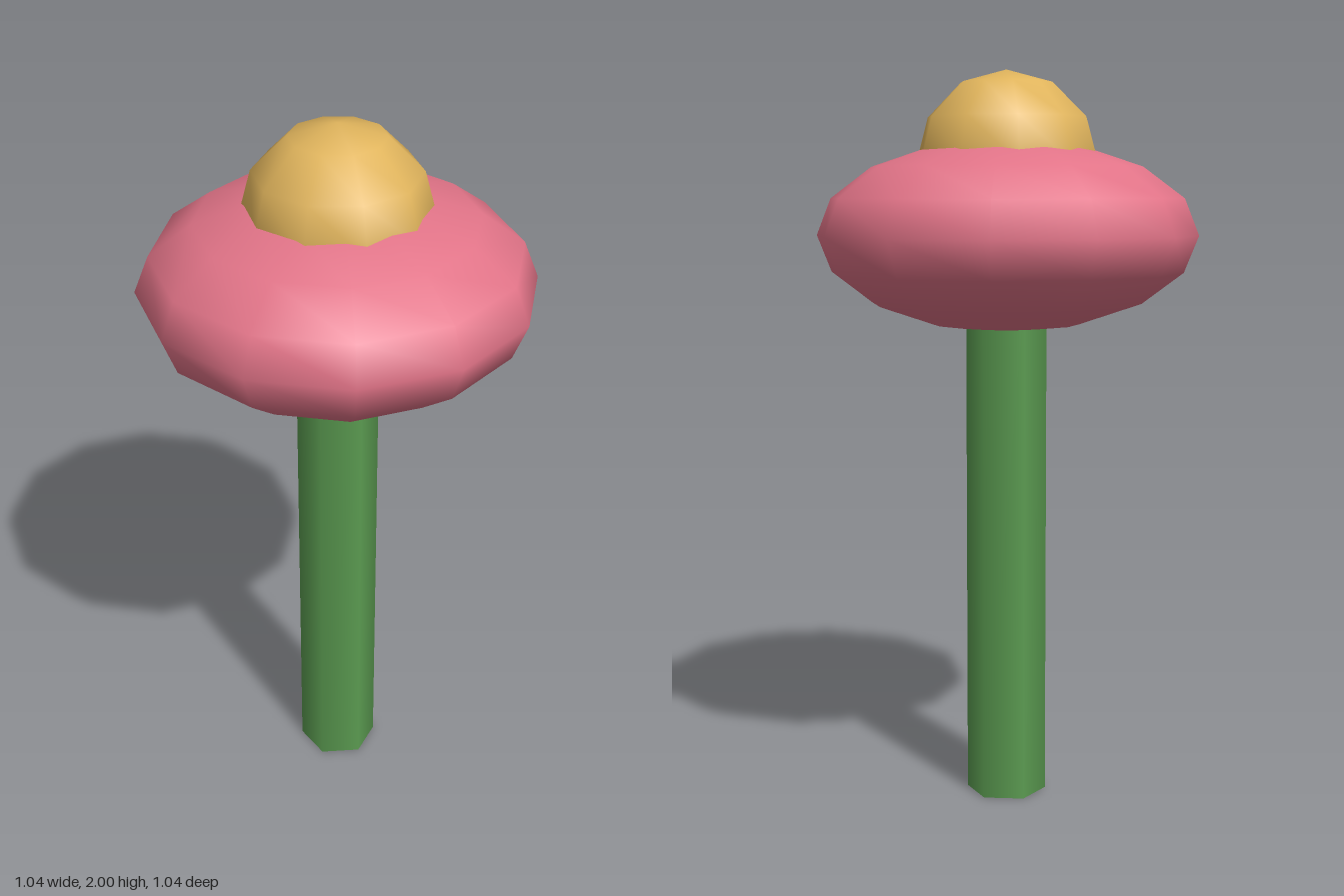
import * as THREE from 'three';

const flat = (name, color) => {
  const material = new THREE.MeshStandardMaterial({ color });
  material.name = name;
  return material;
};

export function createModel() {
  const group = new THREE.Group();
  group.name = 'flower';
  const add = (name, geometry, material, y) => {
    const mesh = new THREE.Mesh(geometry, material);
    mesh.name = name;
    mesh.position.y = y;
    group.add(mesh);
    return mesh;
  };

  // Six-sided stem, ending inside the blossom
  add('stem', new THREE.CylinderGeometry(0.11, 0.11, 1.4, 6), flat('leaf green', 0x5a9a50), 0.7);

  // Flattened round blossom
  add('blossom', new THREE.SphereGeometry(0.52, 12, 8), flat('petal pink', 0xe27488), 1.56).scale.y = 0.5;

  // Yellow centre rising out of the blossom
  add('flowerCentre', new THREE.SphereGeometry(0.25, 10, 6), flat('pollen yellow', 0xe0b45c), 1.75);

  return group;
}
